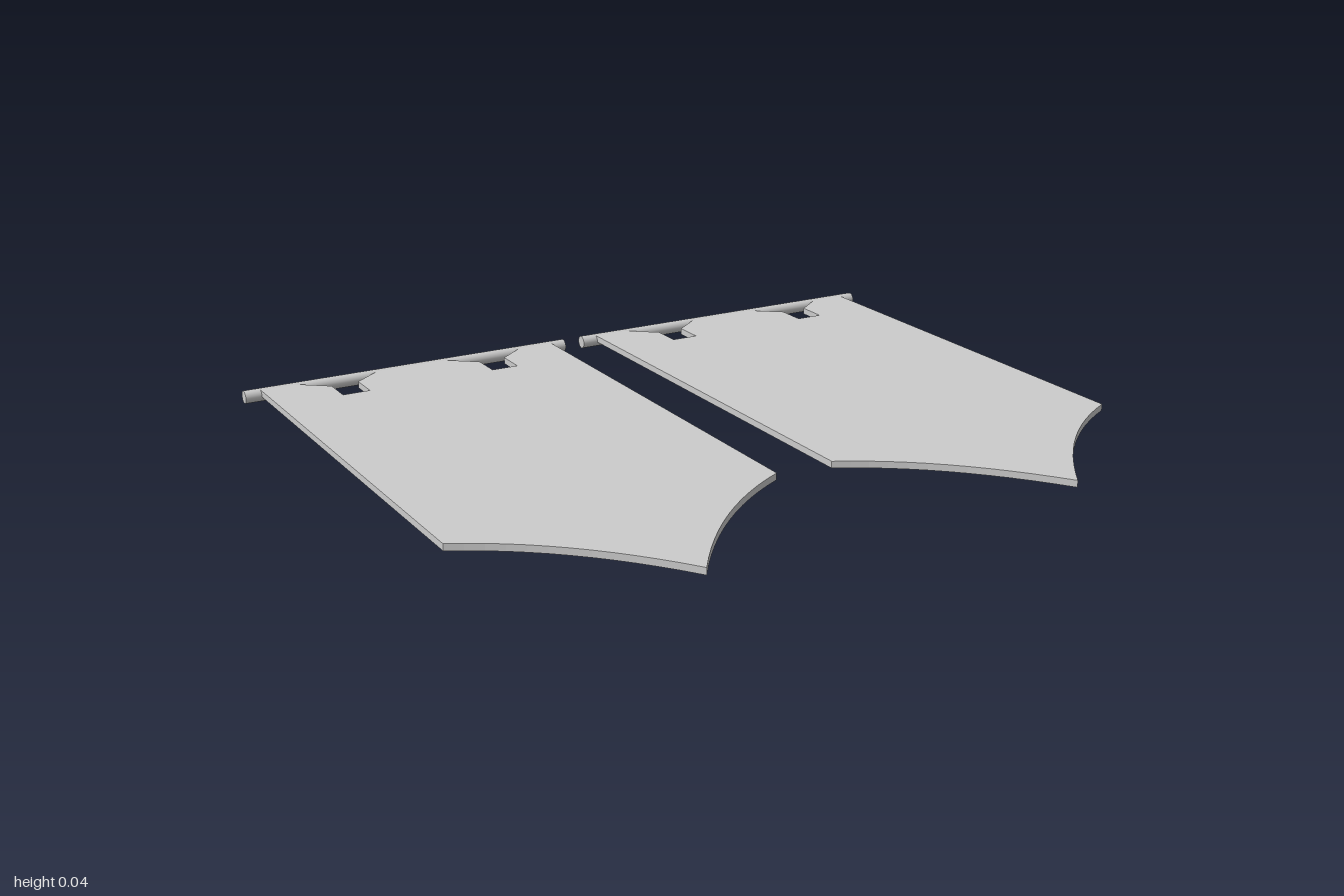
import * as THREE from 'three';

const material = new THREE.MeshStandardMaterial({ color: 0xcccccc });
const ROD_RADIUS = 0.018, ROD_Z = -0.833;

// Banner outline, drawn with shape y standing for model z
function bannerShape() {
  const top = -0.826;
  const notch = [[-0.342, top], [-0.26, -0.76], [-0.26, -0.67], [-0.183, -0.67], [-0.183, -0.76], [-0.1, top]];
  const s = new THREE.Shape();
  s.moveTo(-0.44, top);
  notch.forEach(([x, z]) => s.lineTo(x, z));
  [...notch].reverse().forEach(([x, z]) => s.lineTo(-x, z));
  s.lineTo(0.44, top);
  s.lineTo(0.435, 0.436);
  s.quadraticCurveTo(0.19, 0.56, 0, 0.845);
  s.quadraticCurveTo(-0.19, 0.56, -0.435, 0.436);
  s.closePath();
  return s;
}

function createBanner(x, name) {
  const banner = new THREE.Group();
  banner.name = name;
  banner.position.x = x;

  // Flat cloth panel with hanging notches and a pointed end
  const clothGeometry = new THREE.ExtrudeGeometry(bannerShape(), { depth: 0.018, bevelEnabled: false, curveSegments: 12 });
  clothGeometry.rotateX(Math.PI / 2);
  const cloth = new THREE.Mesh(clothGeometry, material);
  cloth.name = 'cloth';
  cloth.position.y = 0.034;

  // Round rod along the top edge
  const rodGeometry = new THREE.CylinderGeometry(ROD_RADIUS, ROD_RADIUS, 0.97, 20);
  rodGeometry.rotateZ(Math.PI / 2);
  const rod = new THREE.Mesh(rodGeometry, material);
  rod.name = 'rod';
  rod.position.set(0, ROD_RADIUS, ROD_Z);

  banner.add(cloth, rod);
  return banner;
}

export function createModel() {
  const model = new THREE.Group();
  model.name = 'bannerPair';
  model.add(createBanner(0.515, 'leftBanner'), createBanner(-0.515, 'rightBanner'));
  return model;
}
